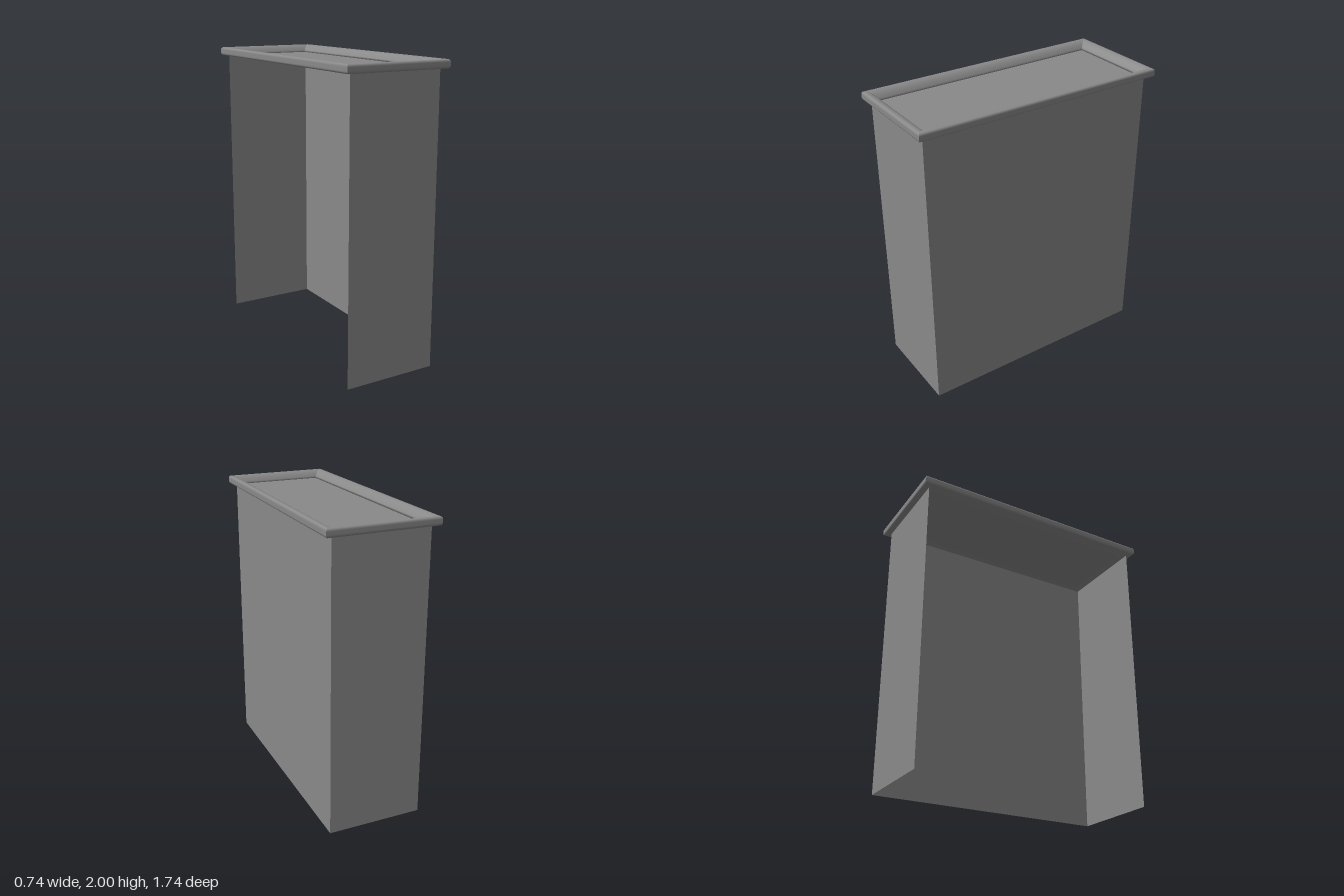
import * as THREE from 'three';

const LEFT = 0.315, RIGHT = -0.325, DEPTH = 1.65, RIM_BOTTOM = 1.943, TOP = 2;

export function createModel() {
  const group = new THREE.Group();
  const solid = new THREE.MeshStandardMaterial({ color: 0x898989 });
  const sheet = new THREE.MeshStandardMaterial({ color: 0x898989, side: THREE.DoubleSide });

  const add = (name, geometry, material) => {
    const mesh = new THREE.Mesh(geometry, material);
    mesh.name = name;
    group.add(mesh);
    return mesh;
  };

  // Thin walls on three sides; the -x side stays open
  const width = LEFT - RIGHT, midX = (LEFT + RIGHT) / 2;
  for (const [name, s] of [['frontWall', 1], ['backWall', -1]]) {
    const wall = add(name, new THREE.PlaneGeometry(width, RIM_BOTTOM), sheet);
    wall.position.set(midX, RIM_BOTTOM / 2, s * DEPTH / 2);
    if (s < 0) wall.rotation.y = Math.PI;
  }
  const side = add('sideWall', new THREE.PlaneGeometry(DEPTH, RIM_BOTTOM), sheet);
  side.rotation.y = Math.PI / 2;
  side.position.set(LEFT, RIM_BOTTOM / 2, 0);

  // Recessed top panel
  const panel = add('topPanel', new THREE.PlaneGeometry(width, DEPTH), sheet);
  panel.rotation.x = -Math.PI / 2;
  panel.position.set(midX, RIM_BOTTOM + 0.005, 0);

  // Rim cross-section: x is the inset from the outer edge, y the height
  const w = 0.082, r = 0.018;
  const shape = new THREE.Shape();
  shape.moveTo(r, RIM_BOTTOM);
  shape.quadraticCurveTo(0, RIM_BOTTOM, 0, RIM_BOTTOM + r);
  shape.lineTo(0, TOP - r);
  shape.quadraticCurveTo(0, TOP, r, TOP);
  shape.quadraticCurveTo(0.055, TOP, w, RIM_BOTTOM + 0.004);
  shape.lineTo(r, RIM_BOTTOM);
  const profile = shape.getPoints(8);

  // Four mitred rim lengths, slightly narrower towards the front
  const corners = [[0.359, 0.867], [0.366, -0.869], [-0.369, -0.869], [-0.369, 0.867]];
  const names = ['rimLeft', 'rimBack', 'rimRight', 'rimFront'];
  names.forEach((name, k) => {
    const positions = [], index = [];
    profile.forEach((p, j) => {
      for (const [x, z] of [corners[k], corners[(k + 1) % 4]]) {
        positions.push(x - Math.sign(x) * p.x, p.y, z - Math.sign(z) * p.x);
      }
      if (j < profile.length - 1) {
        const a = 2 * j;
        index.push(a, a + 1, a + 3, a, a + 3, a + 2);
      }
    });
    const geometry = new THREE.BufferGeometry();
    geometry.setAttribute('position', new THREE.Float32BufferAttribute(positions, 3));
    geometry.setIndex(index);
    geometry.computeVertexNormals();
    add(name, geometry, solid);
  });

  return group;
}
